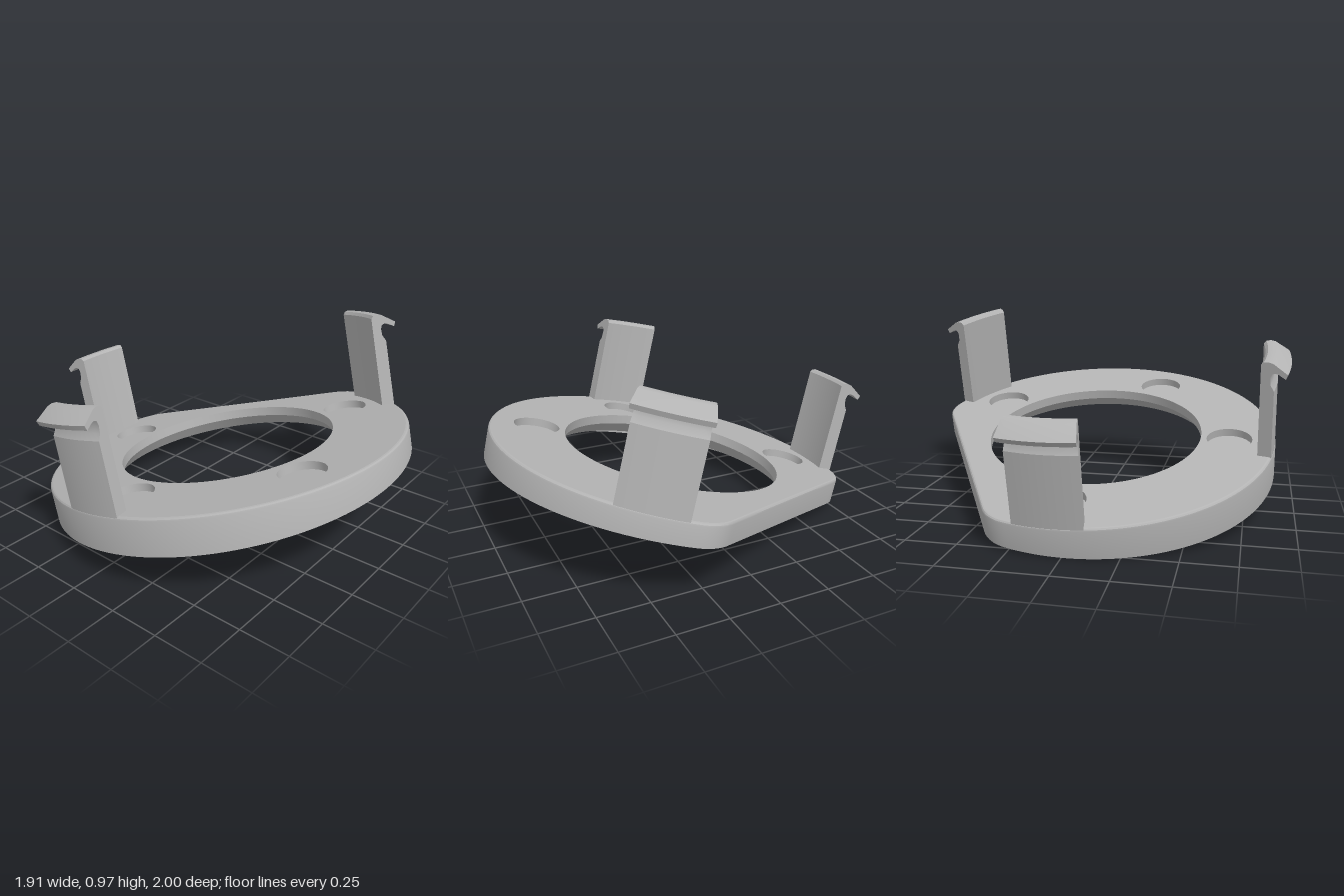
import * as THREE from 'three';
import { mergeGeometries, toCreasedNormals } from 'three/addons/utils/BufferGeometryUtils.js';

const RAD = Math.PI / 180;
const N = 240;            // samples around the ring
const TOP = 0.145;        // height of the ring's upper face
const BORE = 0.555;       // radius of the central opening
const OUTER = 0.93, FLAT = 0.696, FLAT_DIR = -28.7 * RAD, FILLET = 0.2;

// Outer radius at an angle: a circle cut by one flat, with rounded corners
function outline(t) {
  const d = Math.abs(Math.atan2(Math.sin(t - FLAT_DIR), Math.cos(t - FLAT_DIR)));
  const c = OUTER - FILLET;
  const mid = Math.acos((FLAT - FILLET) / c);
  if (d < Math.atan(c * Math.sin(mid) / FLAT)) return FLAT / Math.cos(d);
  if (d < mid) return c * Math.cos(d - mid) + Math.sqrt(FILLET ** 2 - (c * Math.sin(d - mid)) ** 2);
  return OUTER;
}

// Ring cross-section: rounded rim, sloping underside, shallow recess, bevelled bore
function section(t) {
  const R = outline(t);
  const under = r => 0.04 * r * Math.cos(t);
  const recess = Math.min(0.775, R - 0.02);
  const floor = Math.max(0.03, under(recess));
  return [
    [R - 0.015, TOP], [R - 0.0075, TOP - 0.002], [R - 0.002, TOP - 0.0075], [R, TOP - 0.015],
    [R, under(R)], [recess, under(recess)], [recess, floor],
    [0.617, 0.03], [BORE, 0.096], [BORE, TOP],
  ];
}

function ringSides() {
  const pos = [], index = [];
  const M = section(0).length;
  for (let i = 0; i <= N; i++) {
    const t = i / N * Math.PI * 2;
    for (const [r, y] of section(t)) pos.push(r * Math.cos(t), y, r * Math.sin(t));
  }
  for (let i = 0; i < N; i++) {
    for (let j = 0; j < M - 1; j++) {
      const a = i * M + j, b = a + M;
      index.push(a, b, a + 1, b, b + 1, a + 1);
    }
  }
  const g = new THREE.BufferGeometry();
  g.setAttribute('position', new THREE.Float32BufferAttribute(pos, 3));
  g.setIndex(index);
  return toCreasedNormals(g, 0.5);
}

function loop(radius, n, cx = 0, cz = 0) {
  return Array.from({ length: n }, (_, i) => {
    const t = i / n * Math.PI * 2, r = radius(t);
    return new THREE.Vector2(cx + r * Math.cos(t), -(cz + r * Math.sin(t)));
  });
}

// Curved clip: a hooked profile swept through a short arc and capped at both ends
function clipGeometry(angle) {
  const profile = [
    [0.86, -0.02], [0.927, -0.02], [0.925, 0.345], [0.908, 0.375], [0.905, 0.41],
    [0.912, 0.43], [0.928, 0.436], [0.945, 0.43], [0.977, 0.411], [0.986, 0.434],
    [0.917, 0.482], [0.895, 0.488], [0.872, 0.486], [0.86, 0.472],
  ].map(([r, y]) => new THREE.Vector2(r, y));
  const span = 20 * RAD, start = Math.PI / 2 - angle - span / 2;
  const body = new THREE.LatheGeometry([...profile, profile[0]], 12, start, span);
  const caps = [start, start + span].map((phi, i) => {
    const cap = new THREE.ShapeGeometry(new THREE.Shape(profile)).rotateY(phi - Math.PI / 2);
    if (i) cap.setIndex([...cap.index.array].reverse());
    return cap;
  });
  return toCreasedNormals(mergeGeometries([body, ...caps]), 0.5);
}

export function createModel() {
  const model = new THREE.Group();
  model.name = 'clipRing';
  const grey = new THREE.MeshStandardMaterial({ color: 0xb3b3b3 });
  grey.name = 'grey';

  // Everything is built level, then tilted with its front raised
  const tilted = new THREE.Group();
  tilted.name = 'tiltedRing';
  tilted.rotation.x = -13.5 * RAD;
  tilted.position.set(0.035, 0.221, 0.094);
  model.add(tilted);
  const add = (name, geometry) => {
    const mesh = new THREE.Mesh(geometry, grey);
    mesh.name = name;
    tilted.add(mesh);
    return mesh;
  };

  add('ringBody', ringSides());

  // Upper face with openings for the bore and four round pockets
  const face = new THREE.Shape(loop(t => outline(t) - 0.015, N));
  face.holes.push(new THREE.Path(loop(() => BORE, N)));
  const pocketR = 0.115, depth = 0.04;
  for (const deg of [181, -89, 31, 112]) {
    const x = 0.7 * Math.cos(deg * RAD), z = 0.7 * Math.sin(deg * RAD);
    face.holes.push(new THREE.Path(loop(() => pocketR, 48, x, z)));
    // Pocket wall faces inward, floor faces up
    const wall = new THREE.LatheGeometry(
      [new THREE.Vector2(pocketR, depth), new THREE.Vector2(pocketR, 0)], 48);
    add('pocketWall', wall).position.set(x, TOP - depth, z);
    const floor = new THREE.CircleGeometry(pocketR, 48).rotateX(-Math.PI / 2);
    add('pocketFloor', floor).position.set(x, TOP - depth, z);
  }
  add('ringTop', new THREE.ShapeGeometry(face).rotateX(-Math.PI / 2).translate(0, TOP, 0));

  // Three upright clips with outward hooks
  const clips = { backClip: -88.7, rightClip: 182, leftClip: 31 };
  for (const [name, deg] of Object.entries(clips)) {
    add(name, clipGeometry(deg * RAD)).position.y = TOP;
  }
  return model;
}
